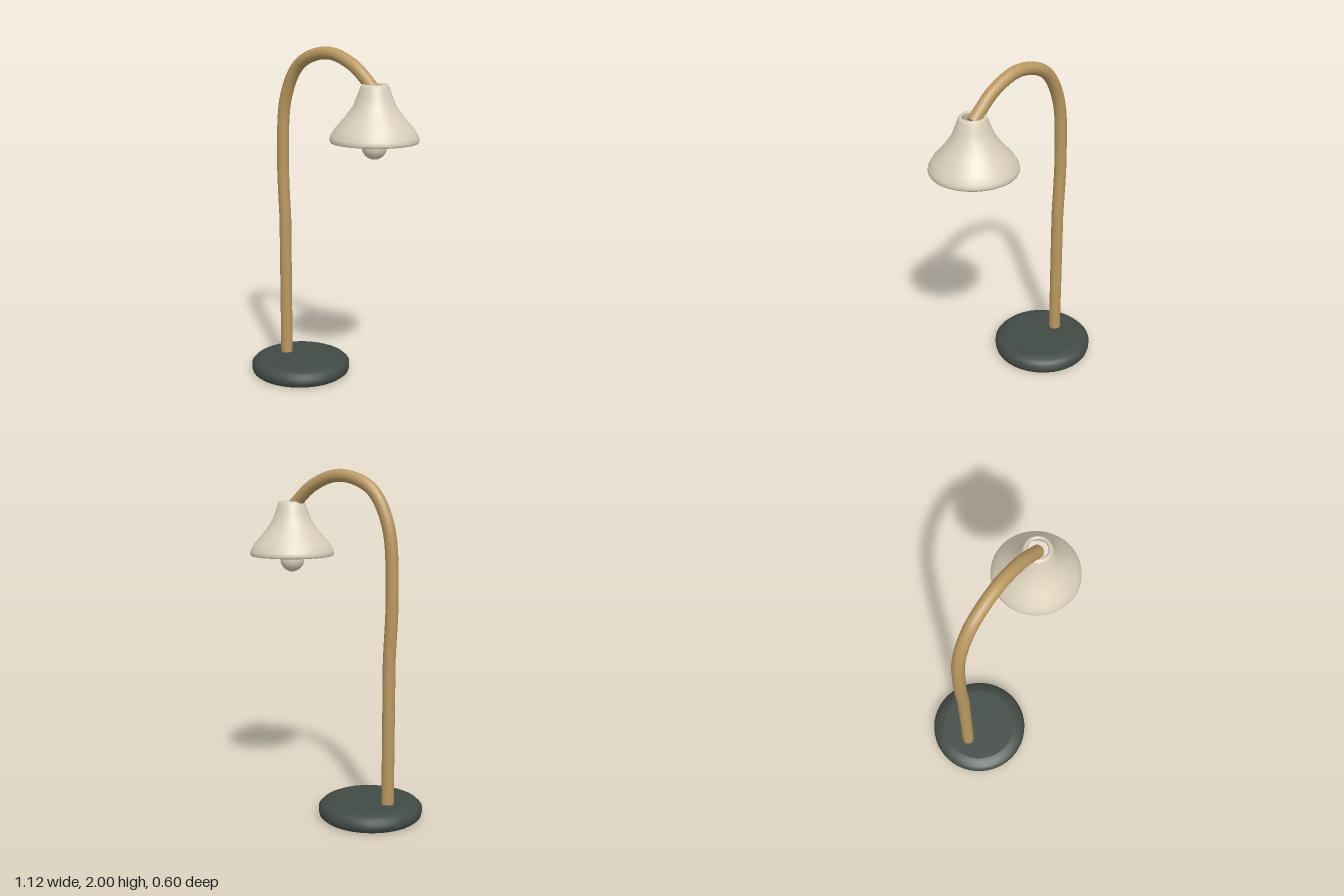
import * as THREE from 'three';

const V2 = (x, y) => new THREE.Vector2(x, y);

export function createModel() {
  const lamp = new THREE.Group();
  lamp.name = 'deskLamp';
  const mat = (name, color, side = THREE.FrontSide) => {
    const m = new THREE.MeshStandardMaterial({ color, side });
    m.name = name;
    return m;
  };
  const darkGreen = mat('darkGreenMetal', 0x414a45);
  const brass = mat('brass', 0xba9860);
  const cream = mat('creamEnamel', 0xd9cfba, THREE.DoubleSide);

  const add = (name, geometry, material, x = 0, y = 0) => {
    const mesh = new THREE.Mesh(geometry, material);
    mesh.name = name;
    mesh.position.set(x, y, 0);
    lamp.add(mesh);
    return mesh;
  };

  // Round base: rounded rim, with flat faces kept separate for crisp normals
  const baseX = -0.26;
  add('baseRim', new THREE.LatheGeometry([
    V2(0.282, 0), V2(0.297, 0.012), V2(0.302, 0.03), V2(0.302, 0.058),
    V2(0.285, 0.076), V2(0.26, 0.088), V2(0.232, 0.095),
  ], 64), darkGreen, baseX);
  add('baseTop', new THREE.CircleGeometry(0.232, 64), darkGreen, baseX, 0.095).rotation.x = -Math.PI / 2;
  add('baseUnderside', new THREE.CircleGeometry(0.282, 64), darkGreen, baseX).rotation.x = Math.PI / 2;

  // Straight post
  add('post', new THREE.CylinderGeometry(0.036, 0.036, 0.87, 24, 1), brass, -0.38, 0.515);

  // Gooseneck sweeping up and over to the shade
  const neckPath = new THREE.CatmullRomCurve3([
    [-0.38, 0.94], [-0.394, 1.32], [-0.362, 1.7], [-0.248, 1.895],
    [-0.04, 1.964], [0.15, 1.907], [0.31, 1.775],
  ].map(([x, y]) => new THREE.Vector3(x, y, 0)));
  add('gooseneck', new THREE.TubeGeometry(neckPath, 80, 0.036, 20), brass);
  const cap = add('neckEnd', new THREE.CircleGeometry(0.036, 20), brass, 0.31, 1.775);
  cap.lookAt(cap.position.clone().add(neckPath.getTangent(1)));

  // Bell shade: outer skin, lips and inner skin as one thin shell
  const shadeX = 0.31;
  add('shade', new THREE.LatheGeometry([
    V2(0.235, 1.497), V2(0.244, 1.495), V2(0.248, 1.505), V2(0.245, 1.525),
    V2(0.222, 1.565), V2(0.165, 1.63), V2(0.118, 1.695), V2(0.096, 1.75),
    V2(0.08, 1.795), V2(0.071, 1.81), V2(0.06, 1.81), V2(0.054, 1.8),
    V2(0.08, 1.745), V2(0.104, 1.69), V2(0.15, 1.625), V2(0.208, 1.56),
    V2(0.232, 1.522), V2(0.235, 1.497),
  ], 64), cream, shadeX);

  // Bulb
  add('bulb', new THREE.SphereGeometry(0.07, 32, 20), cream, shadeX, 1.467);

  return lamp;
}
